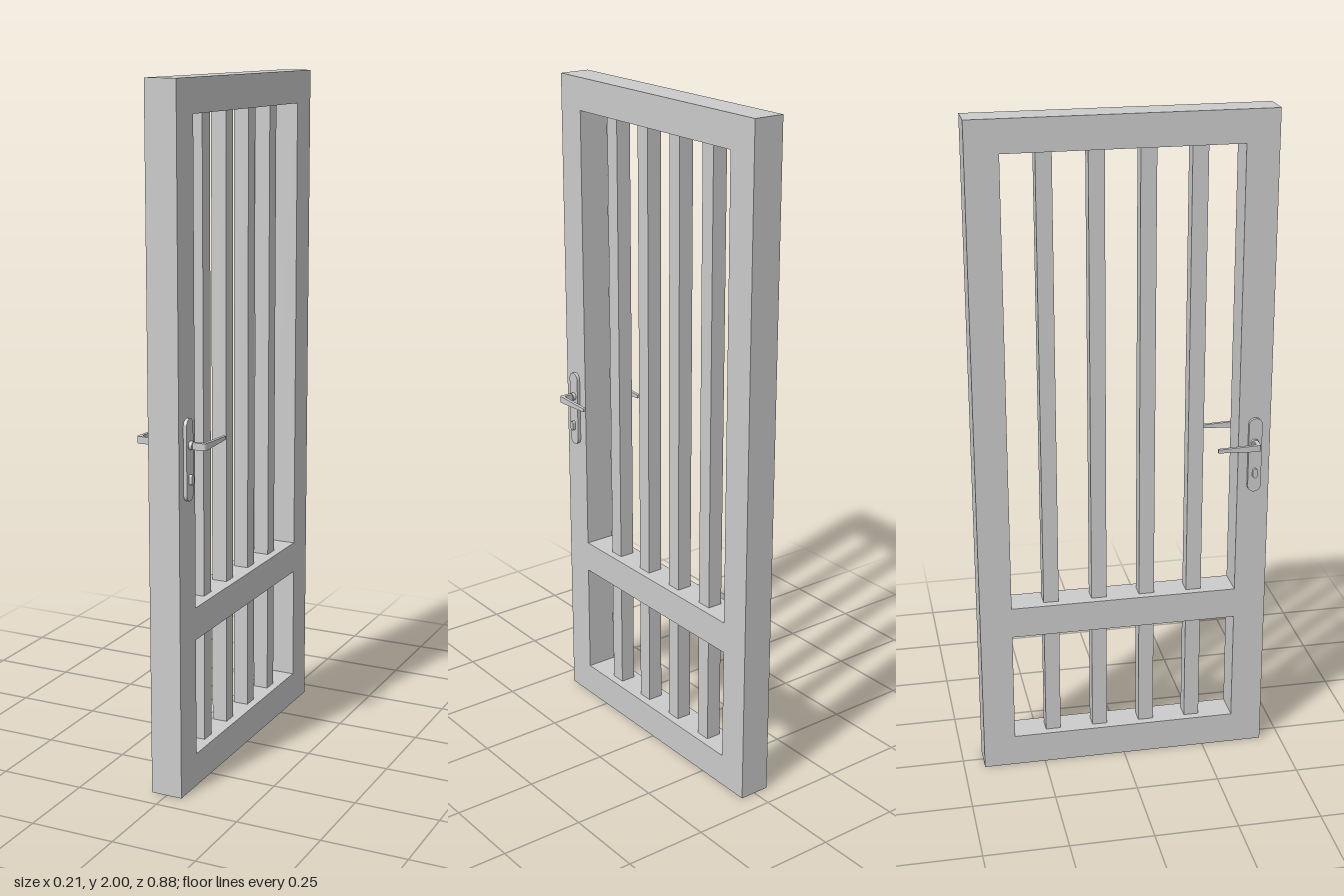
import * as THREE from 'three';

const mat = new THREE.MeshStandardMaterial({ color: 0xcccccc, side: THREE.DoubleSide });
const T = 0.047; // half thickness of the door
const W = 0.4375; // half width of the door

function add(parent, name, geometry, x = 0, y = 0, z = 0) {
  const mesh = new THREE.Mesh(geometry, mat);
  mesh.name = name;
  mesh.position.set(x, y, z);
  parent.add(mesh);
  return mesh;
}

// Trace a rectangle on a shape or path
function rect(p, x0, y0, x1, y1) {
  p.moveTo(x0, y0);
  p.lineTo(x1, y0);
  p.lineTo(x1, y1);
  p.lineTo(x0, y1);
  p.closePath();
  return p;
}

// Upright capsule outline, centred on the origin
function capsule(r, halfHeight) {
  const s = new THREE.Shape();
  s.absarc(0, halfHeight - r, r, 0, Math.PI);
  s.absarc(0, r - halfHeight, r, Math.PI, Math.PI * 2);
  s.closePath();
  return s;
}

// Extrude a z-y outline along x, centred on x = 0
function slab(shape, thickness) {
  const g = new THREE.ExtrudeGeometry(shape, { depth: thickness, bevelEnabled: false, curveSegments: 12 });
  return g.translate(0, 0, -thickness / 2).rotateY(Math.PI / 2);
}

// Hollow frame with two openings; its underside is left open
function frameGeometry() {
  const shape = rect(new THREE.Shape(), -W, 0, W, 2);
  for (const [y0, y1] of [[0.098, 0.443], [0.538, 1.905]]) {
    shape.holes.push(rect(new THREE.Path(), -0.342, y0, 0.342, y1));
  }
  const src = slab(shape, T * 2).toNonIndexed?.() ?? slab(shape, T * 2);
  const p = src.attributes.position;
  const kept = [];
  for (let i = 0; i < p.count; i += 3) {
    if (Math.max(p.getY(i), p.getY(i + 1), p.getY(i + 2)) < 1e-4) continue;
    for (let k = i; k < i + 3; k++) kept.push(p.getX(k), p.getY(k), p.getZ(k));
  }
  const g = new THREE.BufferGeometry();
  g.setAttribute('position', new THREE.Float32BufferAttribute(kept, 3));
  g.computeVertexNormals();
  return g;
}

// L-shaped lever whose grip gets slimmer towards its tip
function leverGeometry(s) {
  const shape = new THREE.Shape();
  shape.moveTo(s * 0.045, 0.383);
  shape.lineTo(s * 0.096, 0.383);
  shape.lineTo(s * 0.096, 0.267);
  shape.lineTo(s * 0.106, 0.267);
  shape.lineTo(s * 0.106, 0.387);
  shape.quadraticCurveTo(s * 0.106, 0.395, s * 0.098, 0.395);
  shape.lineTo(s * 0.045, 0.395);
  shape.closePath();
  const g = new THREE.ExtrudeGeometry(shape, { depth: 1, bevelEnabled: false, curveSegments: 6 });
  g.translate(0, 0, -0.5).rotateX(Math.PI / 2);
  const p = g.attributes.position;
  for (let i = 0; i < p.count; i++) {
    const t = THREE.MathUtils.clamp((p.getZ(i) - 0.267) / 0.116, 0, 1);
    p.setY(i, p.getY(i) * THREE.MathUtils.lerp(0.01, 0.02, t));
  }
  g.computeVertexNormals();
  return g;
}

// Handle set for one side of the door (s = 1 or -1)
function handleSet(s) {
  const set = new THREE.Group();
  set.name = s > 0 ? 'leftHandleSet' : 'rightHandleSet';
  const z = 0.391;
  add(set, 'backPlate', slab(capsule(0.02, 0.116), 0.012), s * 0.051, 0.979, z);
  const collar = new THREE.CylinderGeometry(0.012, 0.012, 0.016, 20).rotateZ(Math.PI / 2);
  add(set, 'leverCollar', collar, s * 0.059, 1.02, z - 0.002);
  add(set, 'lever', leverGeometry(s), 0, 1.02, 0);
  add(set, 'lockCylinder', slab(capsule(0.007, 0.015), 0.02), s * 0.056, 0.924, z);
  return set;
}

export function createModel() {
  const door = new THREE.Group();
  door.name = 'barredDoor';
  add(door, 'frame', frameGeometry());

  // Square bars in the upper and lower openings
  for (const z of [0.219, 0.073, -0.073, -0.219]) {
    add(door, 'upperBar', new THREE.BoxGeometry(0.046, 1.367, 0.046), 0, 1.2215, z);
    add(door, 'lowerBar', new THREE.BoxGeometry(0.046, 0.345, 0.046), 0, 0.2705, z);
  }

  for (const s of [1, -1]) door.add(handleSet(s));
  return door;
}
